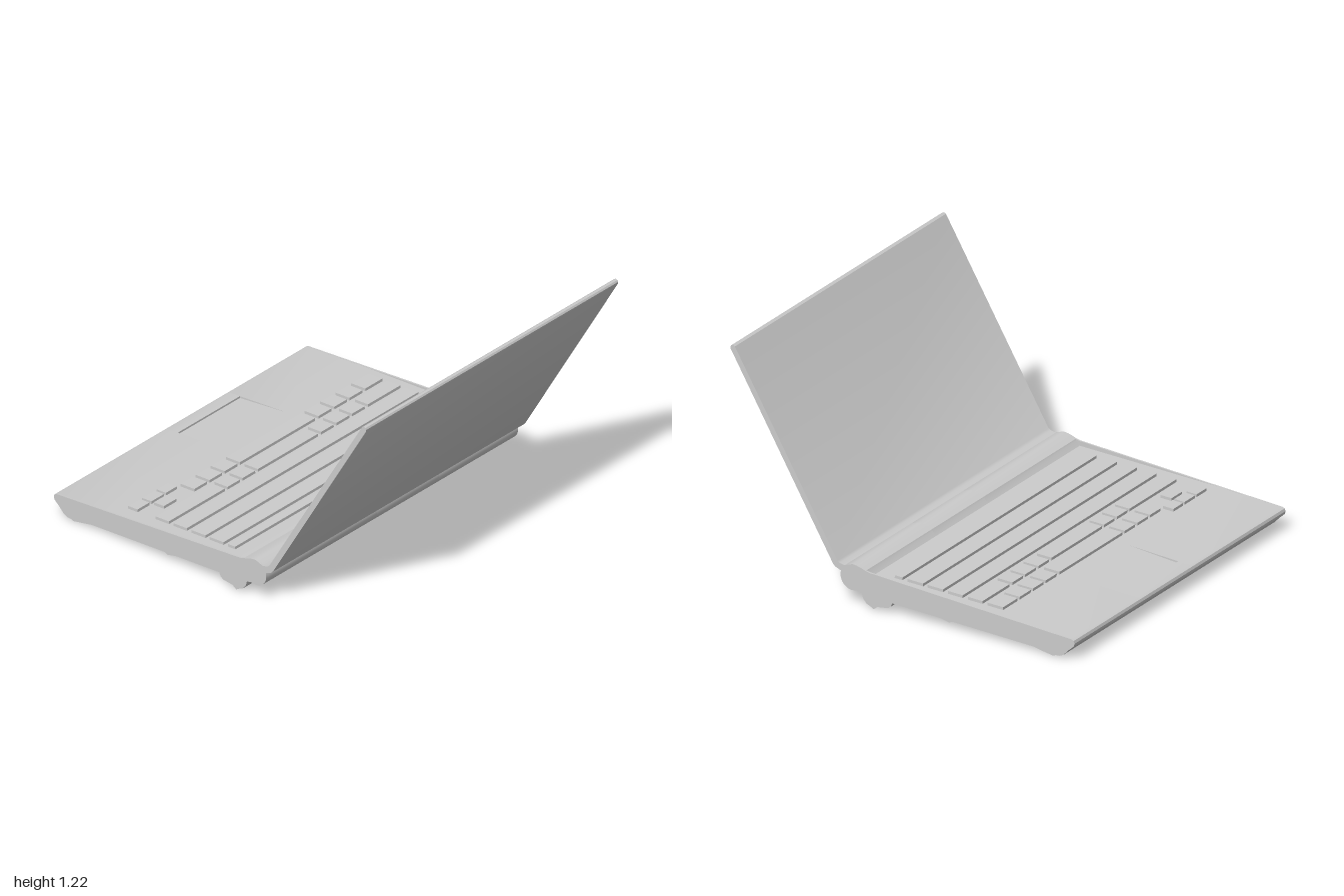
import * as THREE from 'three';
import { toCreasedNormals } from 'three/addons/utils/BufferGeometryUtils.js';

const HALF = 0.955; // half the width along z
const material = new THREE.MeshStandardMaterial({ color: 0xcccccc });

// Extrudes an x/y profile between two z positions
function slab(name, points, z0, z1) {
  const shape = new THREE.Shape(points.map(([x, y]) => new THREE.Vector2(x, y)));
  const geometry = new THREE.ExtrudeGeometry(shape, { depth: z1 - z0, bevelEnabled: false });
  geometry.translate(0, 0, z0);
  const mesh = new THREE.Mesh(toCreasedNormals(geometry, 0.5), material);
  mesh.name = name;
  return mesh;
}

// Points on an arc, angles in degrees
function arc(cx, cy, r, from, to, steps) {
  return Array.from({ length: steps + 1 }, (_, i) => {
    const a = THREE.MathUtils.degToRad(from + ((to - from) * i) / steps);
    return [cx + r * Math.cos(a), cy + r * Math.sin(a)];
  });
}

// Underside from the front lip to the rear foot, then the round hinge barrel
const underside = [
  [-0.98, 0.116], [-0.995, 0.11], [-1, 0.096], [-0.995, 0.08], [-0.965, 0.053],
  [-0.935, 0.022], [-0.915, 0.012], [-0.89, 0.01], [-0.875, 0.003], [-0.85, 0.008],
  [-0.82, 0.013], [-0.76, 0.025], [-0.29, 0.045], [-0.27, 0.036], [-0.22, 0.048],
  [0.06, 0.06], [0.068, 0.04], [0.085, 0.028], [0.11, 0.025], [0.145, 0.02],
  [0.168, 0.003], [0.185, 0.013], [0.21, 0.024], [0.228, 0.045], [0.236, 0.072],
  [0.26, 0.079],
];
const barrel = arc(0.29, 0.145, 0.07, -85, 52, 18);
const hump = [[0.29, 0.215], [0.265, 0.212], [0.24, 0.205], [0.215, 0.196]];

// Keyboard deck sits on a line that sinks below the side rims toward the hinge
const DECK = { x0: -0.61, y0: 0.139, x1: 0.19, y1: 0.166 };
const deckY = (x) => DECK.y0 + ((x - DECK.x0) / (DECK.x1 - DECK.x0)) * (DECK.y1 - DECK.y0);
const deckAngle = Math.atan2(DECK.y1 - DECK.y0, DECK.x1 - DECK.x0);

const rimTop = [[0.195, 0.191]];
const deckTop = [[0.21, 0.188], [DECK.x1, DECK.y1], [DECK.x0, DECK.y0]];
const padTop = [...deckTop, [-0.915, 0.11], [-0.915, 0.12]];

function makeBase() {
  const base = new THREE.Group();
  base.name = 'base';
  const profile = (top) => [...underside, ...barrel, ...hump, ...top];
  const rim = 0.01;
  base.add(
    slab('rightRim', profile(rimTop), -HALF, -HALF + rim),
    slab('leftRim', profile(rimTop), HALF - rim, HALF),
    slab('bodyRight', profile(deckTop), -HALF + rim, -0.355),
    slab('bodyWithTouchpad', profile(padTop), -0.355, 0.115),
    slab('bodyLeft', profile(deckTop), 0.115, HALF - rim),
  );
  return base;
}

function makeKeyboard() {
  const keyboard = new THREE.Group();
  keyboard.name = 'keyboard';
  const full = [[-0.885, 0.87]];
  // Each row: x start, x end, list of z spans
  const rows = [
    [-0.54, -0.45, [[-0.885, -0.755], [-0.735, -0.635], [-0.615, -0.52], [-0.5, -0.4],
      [-0.375, 0.195], [0.215, 0.31], [0.33, 0.425], [0.445, 0.54]]],
    [-0.42, -0.335, [[-0.885, -0.64], [-0.615, -0.52], [-0.5, -0.4], [-0.38, -0.285],
      [-0.26, 0.195], [0.215, 0.31], [0.33, 0.425], [0.445, 0.87]]],
    [-0.305, -0.22, full],
    [-0.19, -0.1, full],
    [-0.075, 0.015, full],
    [0.045, 0.09, full],
    // Arrow keys
    [-0.595, -0.535, [[0.57, 0.655], [0.67, 0.765], [0.78, 0.87]]],
    [-0.52, -0.455, [[0.67, 0.765]]],
  ];
  for (const [x0, x1, spans] of rows) {
    for (const [z0, z1] of spans) {
      const key = new THREE.Mesh(new THREE.BoxGeometry(x1 - x0, 0.03, z1 - z0), material);
      const x = (x0 + x1) / 2;
      key.position.set(x, deckY(x), (z0 + z1) / 2);
      key.rotation.z = deckAngle;
      key.name = 'key';
      keyboard.add(key);
    }
  }
  return keyboard;
}

export function createModel() {
  const model = new THREE.Group();
  model.name = 'laptop';
  model.add(makeBase(), makeKeyboard());

  // Thin lid with rounded top edge and a lug reaching into the hinge
  model.add(slab('lid', [
    [0.335, 0.165], [0.36, 0.166], [0.39, 0.178], [0.403, 0.19],
    [0.998, 1.197], [1, 1.208], [0.995, 1.217], [0.985, 1.221], [0.974, 1.215],
    [0.378, 0.212], [0.365, 0.204], [0.335, 0.198],
  ], -HALF, HALF));
  return model;
}
